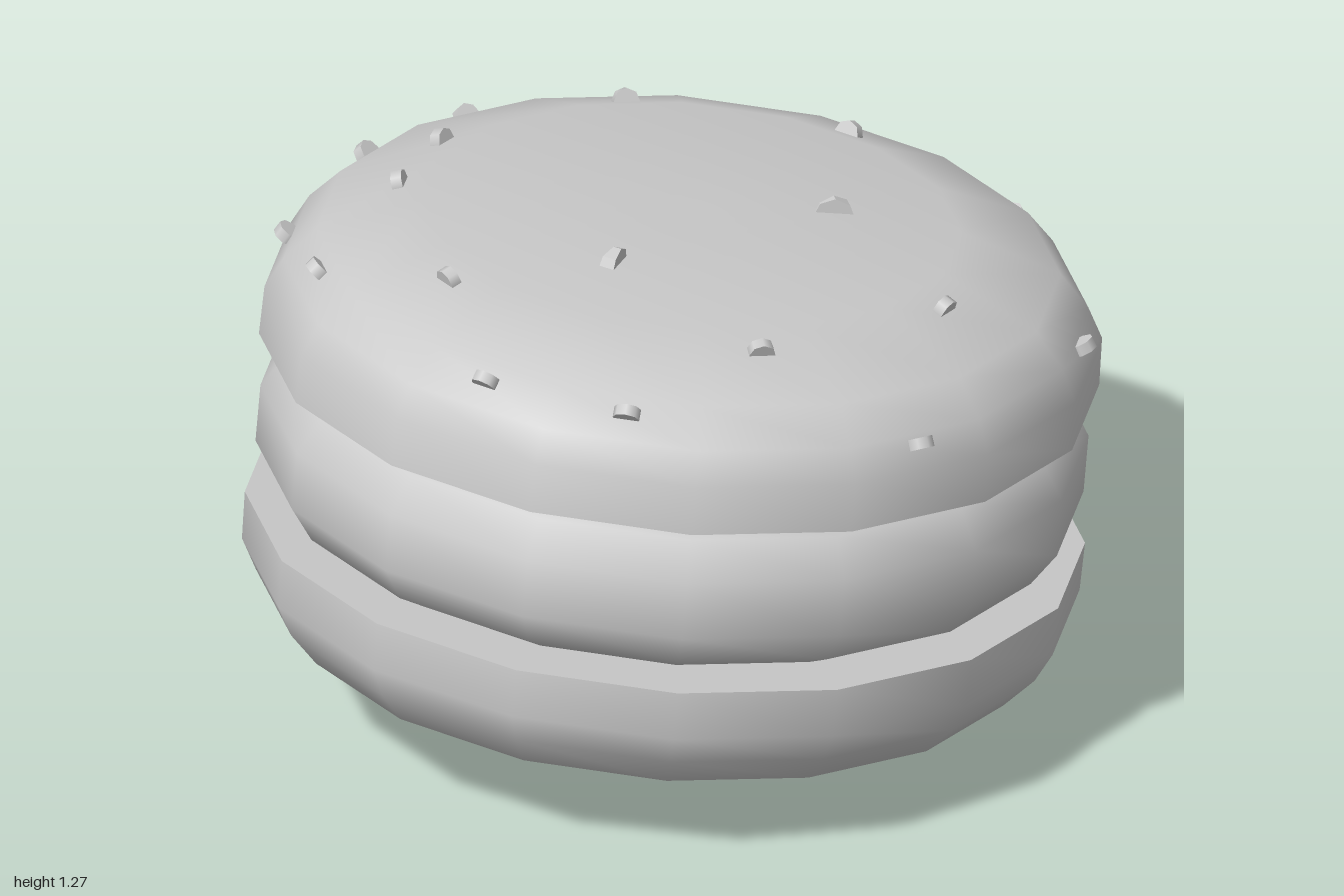
import * as THREE from 'three';

const SIDES = 16;
const material = new THREE.MeshStandardMaterial({ color: 0xcccccc });

function add(parent, name, geometry) {
  const mesh = new THREE.Mesh(geometry, material);
  mesh.name = name;
  parent.add(mesh);
  return mesh;
}

// Profile runs from bottom to top, so faces point outwards
const lathe = (points) =>
  new THREE.LatheGeometry(points.map(([r, y]) => new THREE.Vector2(r, y)), SIDES);

// Domed bun half with a sharp-edged flat cut face and a small flat disc on the crown
function createBun(name) {
  const bun = new THREE.Group();
  bun.name = name;
  add(bun, 'bunShell', lathe([
    [0.966, 0.2], [0.963, 0.318], [0.925, 0.393], [0.855, 0.472], [0.62, 0.562], [0.065, 0.563], [0, 0.563],
  ]));
  add(bun, 'bunCutFace', lathe([[0, 0.2], [0.966, 0.2]]));
  const disc = add(bun, 'crownDisc', new THREE.CircleGeometry(0.066, 32).rotateX(-Math.PI / 2));
  disc.position.y = 0.565;
  return bun;
}

// Half-sunk disc seed, standing along the rim direction
const rimSeed = new THREE.CylinderGeometry(0.031, 0.031, 0.026, 8).rotateX(Math.PI / 2);

// Larger seed near the crown, pointing to the centre and tapering to an edge
function createWedgeSeed() {
  const geometry = new THREE.CylinderGeometry(0.048, 0.048, 0.04, 8).rotateZ(Math.PI / 2).toNonIndexed();
  const p = geometry.attributes.position;
  for (let i = 0; i < p.count; i++) p.setX(i, p.getX(i) * (p.getZ(i) + 0.049) / 0.097);
  geometry.computeVertexNormals();
  return geometry;
}

export function createModel() {
  const model = new THREE.Group();
  model.name = 'burger';

  // Whole stack leans back
  const stack = new THREE.Group();
  stack.name = 'tiltedStack';
  stack.position.y = 0.642;
  stack.rotation.x = -0.118;
  model.add(stack);

  const topBun = createBun('topBun');
  const bottomBun = createBun('bottomBun');
  bottomBun.rotation.z = Math.PI;
  stack.add(topBun, bottomBun);

  add(stack, 'patty', lathe([
    [0, -0.205], [0.8, -0.205], [0.895, -0.155], [0.952, -0.07],
    [0.952, 0.07], [0.895, 0.155], [0.8, 0.205], [0, 0.205],
  ]));

  // Seeds in rings: radius, height, surface tilt, then angles around the bun
  const rings = [
    { r: 0.68, y: 0.535, tilt: 21, geometry: rimSeed, angles: [-11.5, -57, 57, 102, -79.5, -124, -169] },
    { r: 0.87, y: 0.445, tilt: 48, geometry: rimSeed, angles: [11, 34, -34, -79, -101] },
    { r: 0.925, y: 0.375, tilt: 60, geometry: rimSeed, angles: [-56, 79, 124, 169, -146] },
    { r: 0.335, y: 0.55, tilt: 0, geometry: createWedgeSeed(), angles: [12, 147] },
  ];
  const rad = THREE.MathUtils.degToRad;
  for (const { r, y, tilt, geometry, angles } of rings) {
    for (const angle of angles) {
      const a = rad(angle);
      const seed = add(topBun, 'seed', geometry);
      seed.position.set(r * Math.sin(a), y, r * Math.cos(a));
      seed.rotation.set(rad(tilt), a, 0, 'YXZ');
    }
  }
  return model;
}
